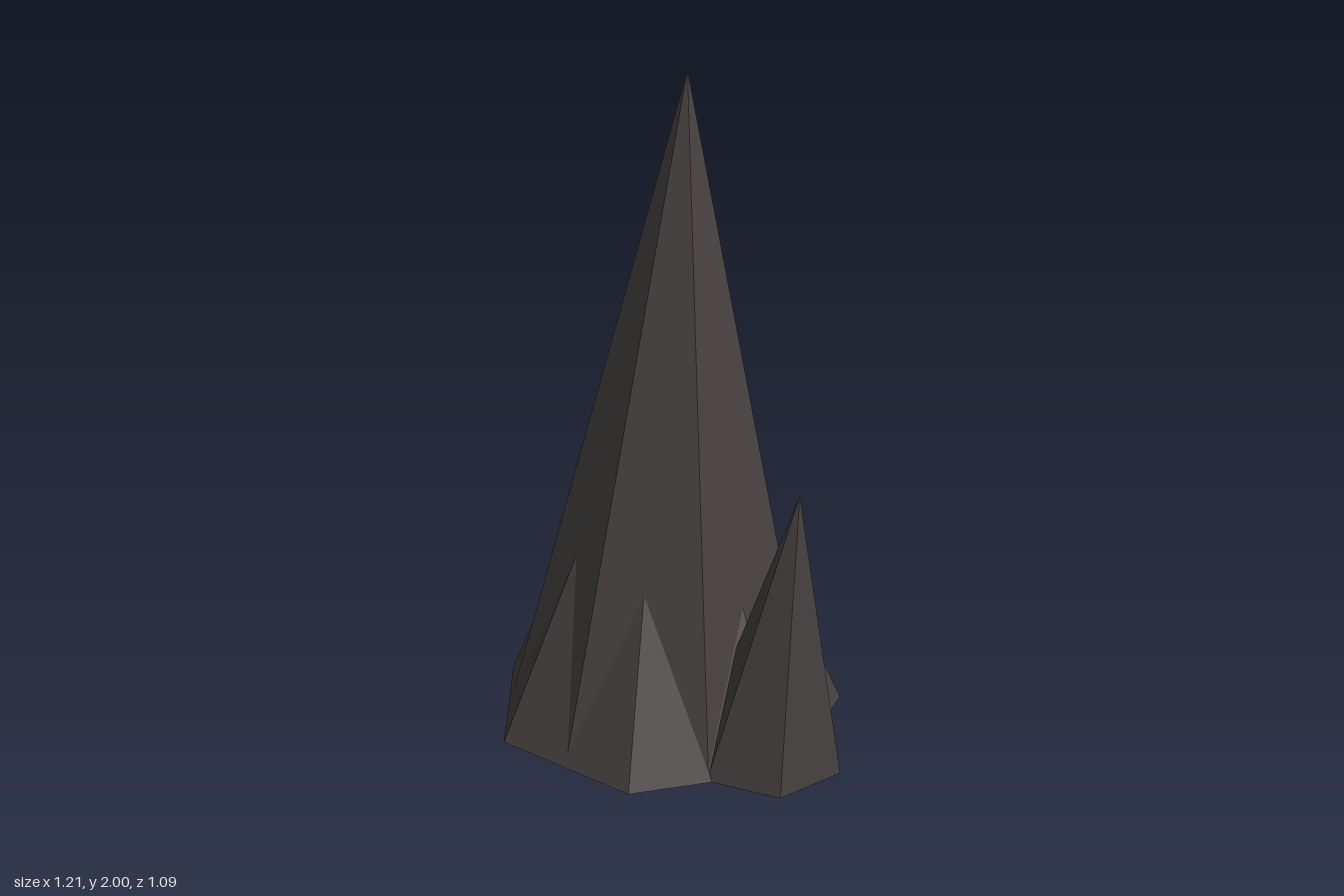
import * as THREE from 'three';

const rock = new THREE.MeshStandardMaterial({ color: 0x453f3f, flatShading: true, side: THREE.DoubleSide });
rock.name = 'darkRock';

// Open faceted spire standing on y = 0, with one base corner facing +x or -x
// and its tip leaning sideways by (leanX, leanZ).
function spire(name, { x, z, radius, height, sides, leanX = 0, leanZ = 0, corner = 1 }) {
  const geo = new THREE.ConeGeometry(radius, height, sides, 1, true);
  geo.rotateY(corner * Math.PI / 2);
  geo.translate(0, height / 2, 0);
  const p = geo.attributes.position;
  for (let i = 0; i < p.count; i++) {
    const t = p.getY(i) / height;
    p.setX(i, p.getX(i) + leanX * t);
    p.setZ(i, p.getZ(i) + leanZ * t);
  }
  geo.computeVertexNormals();
  const mesh = new THREE.Mesh(geo, rock);
  mesh.name = name;
  mesh.position.set(x, 0, z);
  return mesh;
}

export function createModel() {
  const group = new THREE.Group();
  group.name = 'rockSpires';
  group.add(
    // Tall central spire
    spire('mainSpire', { x: -0.045, z: 0, radius: 0.5, height: 2, sides: 7, leanX: 0.053, leanZ: -0.04 }),
    // Wider, lower spire whose corners break through as buttresses
    spire('baseButtresses', { x: -0.045, z: 0, radius: 0.56, height: 1.25, sides: 7, corner: -1 }),
    // Smaller spires at the foot
    spire('leftSpire', { x: 0.375, z: 0.19, radius: 0.23, height: 0.88, sides: 6, leanX: 0.095, leanZ: 0.04 }),
    spire('backSpire', { x: -0.359, z: -0.348, radius: 0.174, height: 0.5, sides: 5, leanX: 0.004 })
  );
  return group;
}
